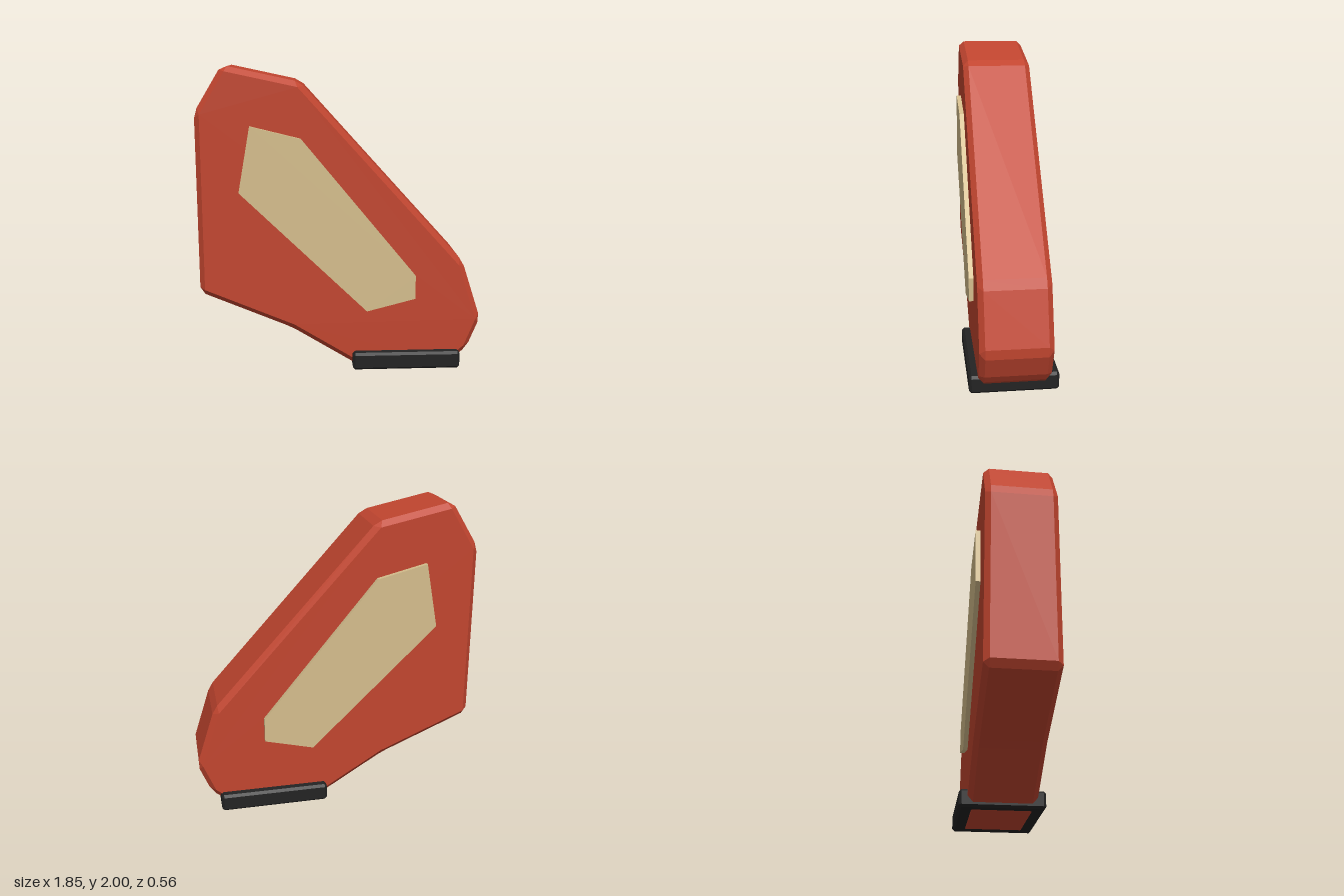
import * as THREE from 'three';

const V = (x, y) => new THREE.Vector2(x, y);

// Prism along z with every edge chamfered by d; outline runs counter-clockwise
function chamferedPrism(outline, halfDepth, d) {
  const pts = outline.map(([x, y]) => V(x, y));
  const n = pts.length;
  const inner = halfDepth - d;
  const pos = [];
  const tri = (...v) => v.forEach(([p, z]) => pos.push(p.x, p.y, z));
  const quad = (a, b, c, e) => { tri(a, b, c); tri(a, c, e); };

  const corners = pts.map((p, i) => {
    const toPrev = pts[(i + n - 1) % n].clone().sub(p).normalize();
    const toNext = pts[(i + 1) % n].clone().sub(p).normalize();
    const n1 = V(-toPrev.y, toPrev.x);
    const n2 = V(toNext.y, -toNext.x);
    return {
      a: p.clone().addScaledVector(toPrev, d),
      b: p.clone().addScaledVector(toNext, d),
      cap: p.clone().addScaledVector(n1.clone().add(n2), -d / (1 + n1.dot(n2))),
    };
  });

  corners.forEach((c, i) => {
    const next = corners[(i + 1) % n];
    // side wall and corner chamfer
    quad([c.b, -inner], [next.a, -inner], [next.a, inner], [c.b, inner]);
    quad([c.a, -inner], [c.b, -inner], [c.b, inner], [c.a, inner]);
    // front rim
    quad([c.b, inner], [next.a, inner], [next.cap, halfDepth], [c.cap, halfDepth]);
    tri([c.a, inner], [c.b, inner], [c.cap, halfDepth]);
    // back rim
    quad([next.a, -inner], [c.b, -inner], [c.cap, -halfDepth], [next.cap, -halfDepth]);
    tri([c.b, -inner], [c.a, -inner], [c.cap, -halfDepth]);
  });

  // front and back caps
  const caps = corners.map((c) => c.cap);
  for (const [i, j, k] of THREE.ShapeUtils.triangulateShape(caps, [])) {
    tri([caps[i], halfDepth], [caps[j], halfDepth], [caps[k], halfDepth]);
    tri([caps[k], -halfDepth], [caps[j], -halfDepth], [caps[i], -halfDepth]);
  }

  const geo = new THREE.BufferGeometry();
  geo.setAttribute('position', new THREE.Float32BufferAttribute(pos, 3));
  geo.computeVertexNormals();
  return geo;
}

export function createModel() {
  const material = (name, color) => {
    const m = new THREE.MeshStandardMaterial({ color });
    m.name = name;
    return m;
  };
  const red = material('brick red', 0xc1452f);
  const tan = material('sand', 0xd4bd8c);
  const black = material('charcoal', 0x232323);

  const group = new THREE.Group();
  const add = (name, geo, mat) => {
    const mesh = new THREE.Mesh(geo, mat);
    mesh.name = name;
    group.add(mesh);
    return mesh;
  };

  // Leaning slab body
  add('body', chamferedPrism([
    [0.13, 0], [0.70, 0], [0.85, 0.125], [0.933, 0.33], [0.805, 0.725],
    [-0.262, 1.905], [-0.75, 2.01], [-0.93, 1.715], [-0.93, 0.54], [-0.33, 0.285],
  ], 0.225, 0.034), red);

  // Foot pad, a hair above the underside of the body
  add('footPad', chamferedPrism([
    [0.073, 0.005], [0.79, 0.005], [0.79, 0.122], [0.073, 0.122],
  ], 0.28, 0.016), black);

  // Raised panels on the front and back faces
  const panelShape = new THREE.Shape([
    V(0.165, 0.408), V(0.485, 0.49), V(0.485, 0.645),
    V(-0.262, 1.552), V(-0.583, 1.632), V(-0.66, 1.21),
  ]);
  const panel = new THREE.ExtrudeGeometry(panelShape, { depth: 0.04, bevelEnabled: false });
  add('frontPanel', panel, tan).position.z = 0.215;
  add('backPanel', panel, tan).position.z = -0.255;

  return group;
}
